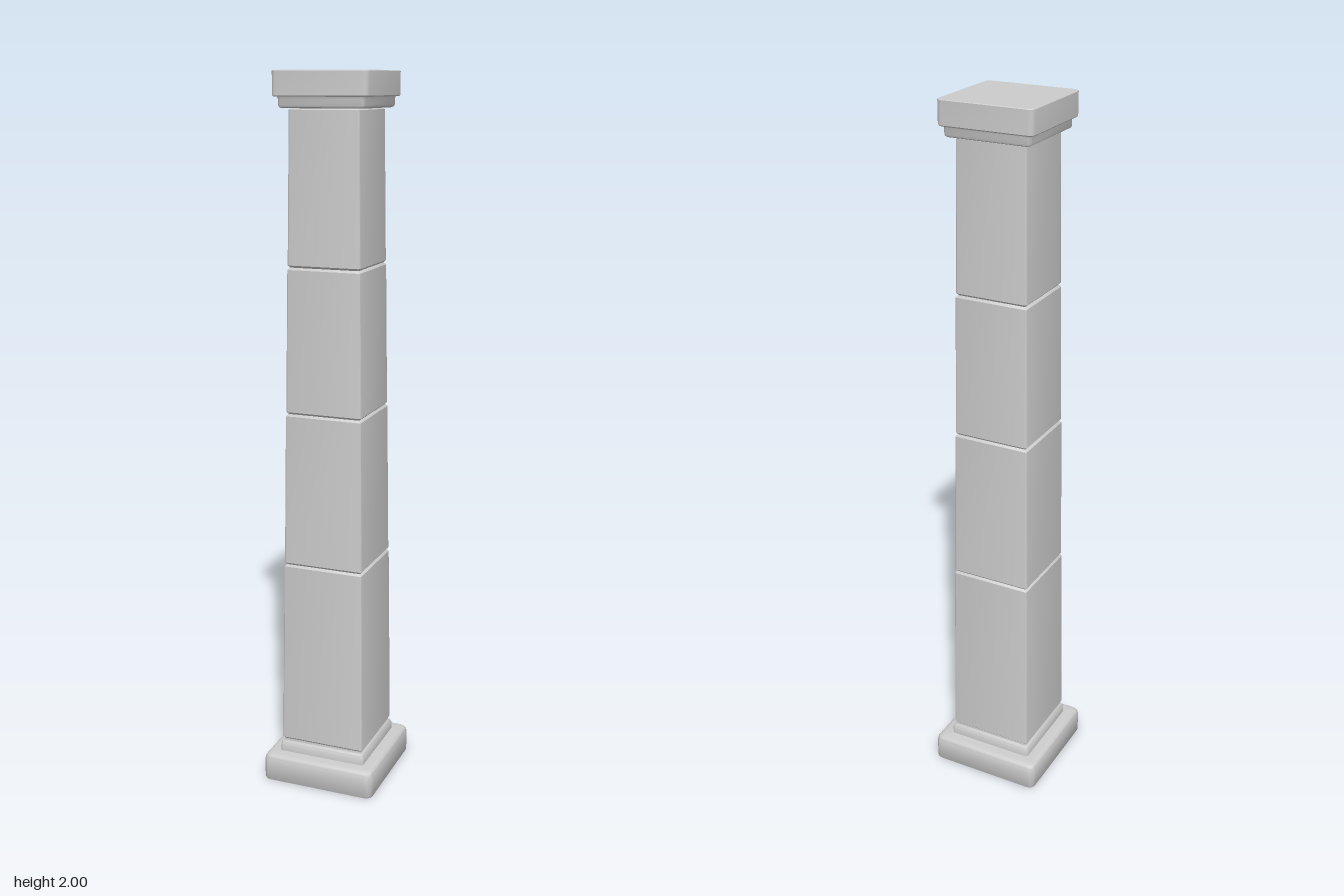
import * as THREE from 'three';
import { toCreasedNormals } from 'three/addons/utils/BufferGeometryUtils.js';

const material = new THREE.MeshStandardMaterial({ color: 0xcccccc });
const CORNER_STEPS = 3;

// Outline of a rounded square, counter-clockwise seen from above
function squareRing(half, y, radius) {
  const ring = [];
  for (let corner = 0; corner < 4; corner++) {
    const mid = Math.PI / 4 + corner * Math.PI / 2;
    const cx = Math.sign(Math.cos(mid)) * (half - radius);
    const cz = -Math.sign(Math.sin(mid)) * (half - radius);
    for (let i = 0; i <= CORNER_STEPS; i++) {
      const a = (corner + i / CORNER_STEPS) * Math.PI / 2;
      ring.push([cx + radius * Math.cos(a), y, cz - radius * Math.sin(a)]);
    }
  }
  return ring;
}

// Closed square block lofted through [halfWidth, y] profile points, bottom to top
function squareBlock(name, profile, radius) {
  const widest = Math.max(...profile.map(([half]) => half));
  const rings = profile.map(([half, y]) =>
    squareRing(half, y, Math.max(0.002, radius - (widest - half) * 0.6)));
  const n = rings[0].length;
  const positions = [];
  const tri = (a, b, c) => positions.push(...a, ...b, ...c);
  for (let r = 0; r < rings.length - 1; r++) {
    for (let i = 0; i < n; i++) {
      const j = (i + 1) % n;
      const [lo, hi] = [rings[r], rings[r + 1]];
      tri(lo[i], lo[j], hi[j]);
      tri(lo[i], hi[j], hi[i]);
    }
  }
  const bottom = [0, profile[0][1], 0];
  const top = [0, profile[profile.length - 1][1], 0];
  for (let i = 0; i < n; i++) {
    const j = (i + 1) % n;
    tri(bottom, rings[0][j], rings[0][i]);
    tri(top, rings[rings.length - 1][i], rings[rings.length - 1][j]);
  }
  const geometry = new THREE.BufferGeometry();
  geometry.setAttribute('position', new THREE.Float32BufferAttribute(positions, 3));
  const mesh = new THREE.Mesh(toCreasedNormals(geometry, 0.65), material);
  mesh.name = name;
  return mesh;
}

export function createModel() {
  const column = new THREE.Group();
  column.name = 'column';

  // Plinth with a rounded upper edge
  const plinth = [[0.165, 0], [0.167, 0.004]];
  for (let i = 0; i <= 4; i++) {
    const a = i * Math.PI / 8;
    plinth.push([0.149 + 0.018 * Math.cos(a), 0.062 + 0.018 * Math.sin(a)]);
  }
  column.add(squareBlock('plinth', plinth, 0.02));

  // Stepped moulding between plinth and shaft
  column.add(squareBlock('baseMoulding',
    [[0.128, 0.079], [0.128, 0.1], [0.125, 0.107], [0.118, 0.111], [0.117, 0.122]], 0.008));

  // Tapering shaft blocks with bevelled joints
  const joints = [0.117, 0.656, 1.092, 1.493, 1.907];
  const halfAt = (y) => THREE.MathUtils.mapLinear(y, 0.117, 1.907, 0.1235, 0.098);
  const shaft = new THREE.Group();
  shaft.name = 'shaft';
  const bevel = 0.006;
  for (let i = 0; i < joints.length - 1; i++) {
    const [y0, y1] = [joints[i], joints[i + 1]];
    shaft.add(squareBlock(`shaftBlock${i + 1}`, [
      [halfAt(y0) - bevel, y0],
      [halfAt(y0), y0 + bevel],
      [halfAt(y1), y1 - bevel],
      [halfAt(y1) - bevel, y1],
    ], 0.007));
  }
  column.add(shaft);

  // Neck moulding and square cap
  column.add(squareBlock('capMoulding',
    [[0.112, 1.905], [0.118, 1.908], [0.12, 1.913], [0.12, 1.928], [0.123, 1.936]], 0.01));
  column.add(squareBlock('cap',
    [[0.13, 1.934], [0.133, 1.937], [0.133, 1.998], [0.131, 2]], 0.015));

  return column;
}
